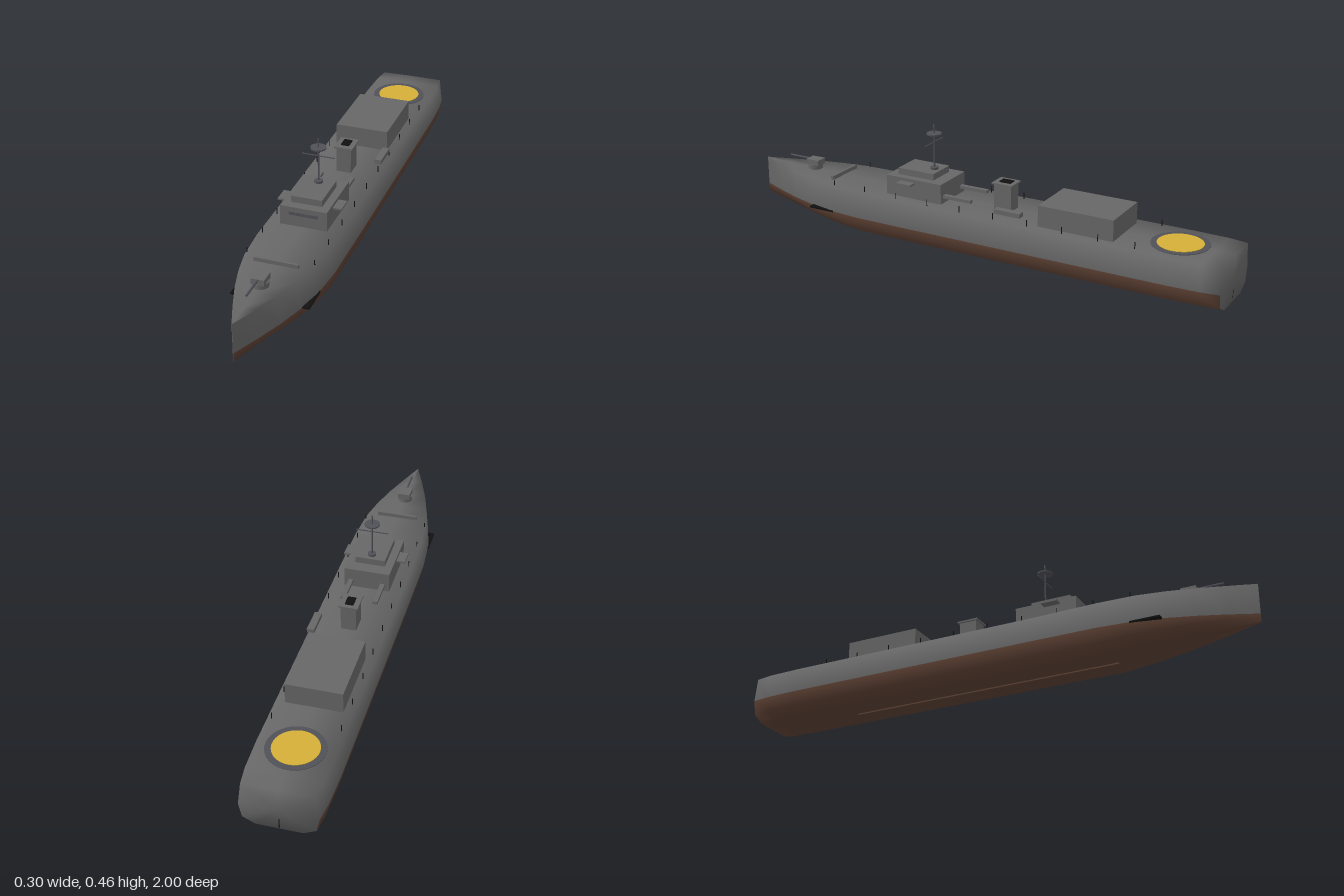
import * as THREE from 'three';

const mat = (name, color, extra = {}) => {
  const m = new THREE.MeshStandardMaterial({ color, ...extra });
  m.name = name;
  return m;
};

export function createModel() {
  const ship = new THREE.Group();
  ship.name = 'ship';
  const grey = mat('hull grey', 0x666666);
  const brown = mat('bottom brown', 0x5c4033);
  const dark = mat('dark grey', 0x505058);
  const black = mat('black', 0x111111);
  const gold = mat('deck gold', 0xd4af37);

  const add = (name, geo, m, x, y, z) => {
    const mesh = new THREE.Mesh(geo, m);
    mesh.name = name;
    mesh.position.set(x, y, z);
    ship.add(mesh);
    return mesh;
  };
  // Box given by its min and max on each axis
  const box = (name, m, x0, x1, y0, y1, z0, z1) =>
    add(name, new THREE.BoxGeometry(x1 - x0, y1 - y0, z1 - z0), m, (x0 + x1) / 2, (y0 + y1) / 2, (z0 + z1) / 2);
  const cyl = (name, m, r, y0, y1, x, z, n = 16) =>
    add(name, new THREE.CylinderGeometry(r, r, y1 - y0, n), m, x, (y0 + y1) / 2, z);

  // Hull: stations of z, width factor, keel height, deck height
  const stations = [
    [-1, 0.91, 0.006, 0.178], [-0.93, 0.97, 0.005, 0.18], [-0.8, 1, 0.005, 0.18],
    [-0.3, 1, 0.005, 0.18], [0.2, 1, 0.005, 0.18], [0.46, 0.99, 0.005, 0.184],
    [0.6, 0.91, 0.016, 0.187], [0.7, 0.76, 0.024, 0.189], [0.8, 0.55, 0.033, 0.191],
    [0.9, 0.29, 0.042, 0.193], [1, 0.006, 0.051, 0.196],
  ];
  const waterline = 0.083, n = 10;
  const pos = [], lower = [], upper = [];
  for (const [z, f, k, d] of stations) {
    const half = [[0, k], [0.09, k], [0.14, k + 0.023], [0.152, waterline], [0.138, d], [0, d + 0.001]];
    const ring = [...half, ...half.slice(1, 5).reverse().map(([x, y]) => [-x, y])];
    ring.forEach(([x, y]) => pos.push(x * f, y, z));
  }
  for (let i = 0; i < stations.length - 1; i++) {
    for (let j = 0; j < n; j++) {
      const a = i * n + j, b = i * n + (j + 1) % n;
      (j < 3 || j > 6 ? lower : upper).push(a, b, b + n, a, b + n, a + n);
    }
  }
  // Transom and stem caps
  const stern = pos.length / 3, last = (stations.length - 1) * n;
  pos.push(0, 0.09, -1, 0, 0.12, 1);
  for (let j = 0; j < n; j++) {
    const k = (j + 1) % n;
    upper.push(stern, k, j, stern + 1, last + j, last + k);
  }
  const hull = new THREE.BufferGeometry();
  hull.setAttribute('position', new THREE.Float32BufferAttribute(pos, 3));
  hull.setIndex([...upper, ...lower]);
  hull.addGroup(0, upper.length, 0);
  hull.addGroup(upper.length, lower.length, 1);
  hull.computeVertexNormals();
  add('hull', hull, [grey, brown], 0, 0, 0);
  box('keel', brown, -0.004, 0.004, 0, 0.008, -0.6, 0.48);
  box('rudder', black, -0.002, 0.002, 0.01, 0.05, -1, -0.985);

  // Bridge
  box('bridge', grey, -0.088, 0.088, 0.175, 0.258, 0.12, 0.36);
  box('upperBridge', grey, -0.058, 0.058, 0.258, 0.283, 0.17, 0.325);
  for (let i = -2; i <= 2; i++) {
    box('bridgeWindow', dark, i * 0.022 - 0.009, i * 0.022 + 0.009, 0.228, 0.24, 0.358, 0.364);
  }
  for (const s of [-1, 1]) {
    const pair = (a, b) => [Math.min(s * a, s * b), Math.max(s * a, s * b)];
    box('bridgeWing', grey, ...pair(0.086, 0.121), 0.239, 0.246, 0.235, 0.297);
    box('aftRail', grey, ...pair(0.053, 0.071), 0.2, 0.212, 0.003, 0.125);
    box('bowFin', black, ...pair(0.115, 0.143), 0.08, 0.086, 0.58, 0.69);
    // Deck posts
    for (let i = 0; i < 10; i++) cyl('deckPost', black, 0.0018, 0.178, 0.205, s * 0.123, -0.68 + i * 0.14, 6);
  }

  // Mast with yard and radar
  cyl('mast', dark, 0.003, 0.283, 0.46, 0, 0.2, 8);
  cyl('mastBase', dark, 0.016, 0.283, 0.291, 0, 0.2);
  cyl('radarDisc', dark, 0.029, 0.42, 0.425, 0, 0.2, 24);
  box('yard', dark, -0.062, 0.062, 0.388, 0.391, 0.1985, 0.2015);

  // Funnel
  box('funnel', grey, -0.029, 0.029, 0.178, 0.28, -0.145, -0.075);
  box('funnelCap', grey, -0.036, 0.036, 0.28, 0.286, -0.152, -0.068);
  box('funnelOpening', black, -0.016, 0.016, 0.284, 0.29, -0.135, -0.09);

  // Boat and hangar
  box('boat', grey, 0.105, 0.132, 0.208, 0.225, -0.235, -0.13);
  box('hangar', grey, -0.104, 0.104, 0.175, 0.261, -0.59, -0.295);

  // Landing pad
  cyl('landingRing', dark, 0.105, 0.176, 0.1825, 0, -0.8, 40);
  cyl('landingDisc', gold, 0.083, 0.18, 0.1845, 0, -0.8, 40);

  // Foredeck gun and breakwater
  box('breakwater', grey, -0.081, 0.081, 0.18, 0.203, 0.616, 0.626);
  cyl('gunBase', grey, 0.029, 0.185, 0.21, 0, 0.76);
  box('gunTurret', grey, -0.024, 0.024, 0.208, 0.23, 0.73, 0.787);
  const barrel = cyl('gunBarrel', dark, 0.004, 0, 0.11, 0, 0.825, 10);
  barrel.rotation.x = Math.PI / 2;
  barrel.position.y = 0.226;
  return ship;
}
